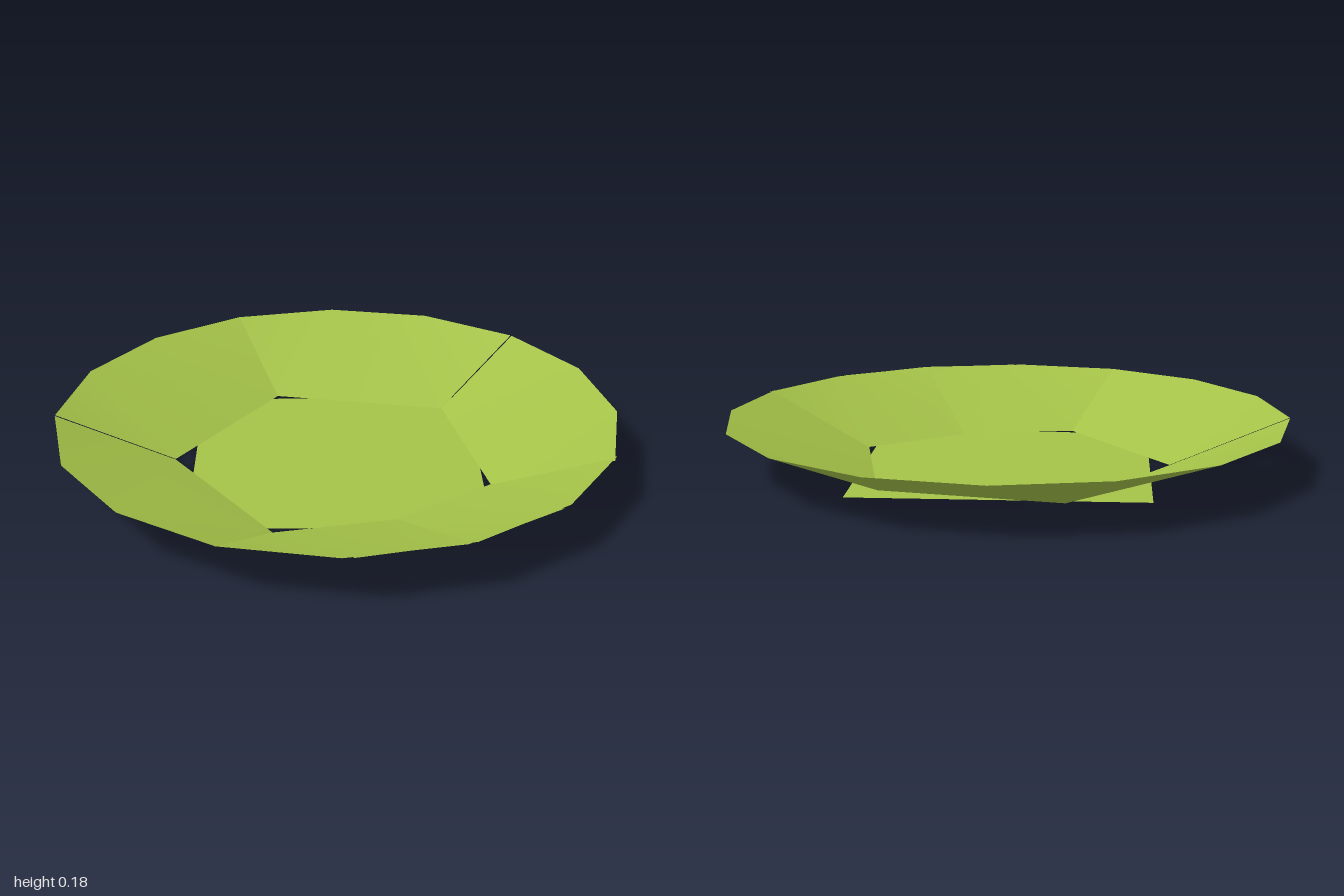
import * as THREE from 'three';

const HEIGHT = 0.178, INNER = 0.58, OUTER = 1, BASE = 0.72;
const STEP = 22.5; // rim segment, degrees

const material = new THREE.MeshStandardMaterial({ color: 0xa4c248, side: THREE.DoubleSide });

function ringPoint(radius, degrees, y) {
  const a = THREE.MathUtils.degToRad(degrees);
  return [radius * Math.cos(a), y, -radius * Math.sin(a)];
}

// One side panel: a straight inner edge on the floor, a three-segment rim above
function panelGeometry(start) {
  const points = [ringPoint(INNER, start, 0), ringPoint(INNER, start + 3 * STEP, 0)];
  for (let i = 0; i <= 3; i++) points.push(ringPoint(OUTER, start + i * STEP, HEIGHT));
  const g = new THREE.BufferGeometry();
  g.setAttribute('position', new THREE.Float32BufferAttribute(points.flat(), 3));
  g.setIndex([0, 2, 3, 0, 3, 4, 0, 4, 1, 1, 4, 5]);
  g.computeVertexNormals();
  return g;
}

export function createModel() {
  const group = new THREE.Group();
  group.name = 'shallowBowl';

  // Square floor plate with its corners on the axes
  const base = new THREE.Mesh(new THREE.CircleGeometry(BASE, 4).rotateX(-Math.PI / 2), material);
  base.name = 'basePlate';
  group.add(base);

  // Six panels; the last two overlap, and two neighbours leave a narrow slit
  [22.5, 90.3, 157.5, 225.4, 292.5, 317].forEach((start, i) => {
    const panel = new THREE.Mesh(panelGeometry(start), material);
    panel.name = `sidePanel${i + 1}`;
    group.add(panel);
  });
  return group;
}
